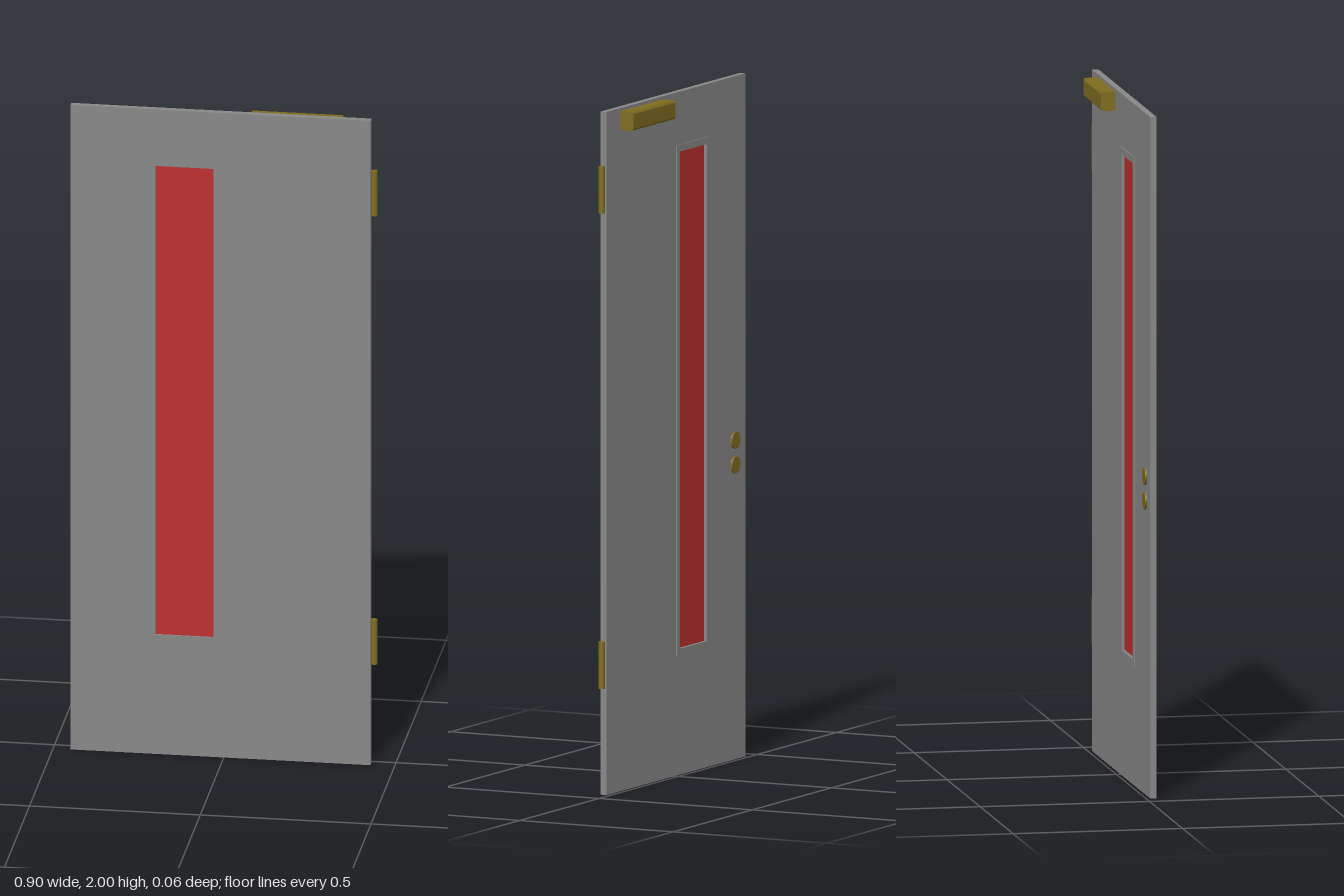
import * as THREE from 'three';

const grey = new THREE.MeshStandardMaterial({ color: 0x888888 });
const red = new THREE.MeshStandardMaterial({ color: 0xbc2e2e });
const brass = new THREE.MeshStandardMaterial({ color: 0x7f6c20 });

// Rectangular panel with a rectangular opening, extruded from z0 to z1
function framedPanel(outer, inner, z0, z1) {
  const corners = ([x0, y0, x1, y1]) => [[x0, y0], [x1, y0], [x1, y1], [x0, y1]].map(([x, y]) => new THREE.Vector2(x, y));
  const shape = new THREE.Shape(corners(outer));
  shape.holes.push(new THREE.Path(corners(inner).reverse()));
  return new THREE.ExtrudeGeometry(shape, { depth: z1 - z0, bevelEnabled: false }).translate(0, 0, z0);
}

export function createModel() {
  const door = new THREE.Group();
  door.name = 'door';
  const add = (name, geometry, material, x = 0, y = 0, z = 0) => {
    const mesh = new THREE.Mesh(geometry, material);
    mesh.name = name;
    mesh.position.set(x, y, z);
    door.add(mesh);
  };

  // Slab with a tall narrow window
  const opening = [-0.2, 0.37, -0.03, 1.825];
  const [x0, y0, x1, y1] = opening;
  add('doorSlab', framedPanel([-0.449, 0, 0.43, 2], opening, 0.012, 0.031), grey);
  add('windowTrim', framedPanel([x0 - 0.02, y0 - 0.02, x1 + 0.02, y1 + 0.02], opening, 0.009, 0.012), grey);
  add('windowPane', new THREE.BoxGeometry(x1 - x0, y1 - y0, 0.006), red, (x0 + x1) / 2, (y0 + y1) / 2, 0.0215);

  // Lock discs on the back
  for (const [name, y] of [['upperLockDisc', 0.935], ['lowerLockDisc', 0.863]]) {
    add(name, new THREE.CylinderGeometry(0.025, 0.025, 0.007, 32).rotateX(Math.PI / 2), brass, -0.38, y, 0.0095);
  }

  // Hinge barrels along the left edge
  for (const [name, y] of [['upperHinge', 1.773], ['lowerHinge', 0.381]]) {
    add(name, new THREE.CylinderGeometry(0.0095, 0.0095, 0.138, 24), brass, 0.4395, y, 0.022);
  }

  // Closer box: profile in z and y with chamfered rear edges, run along x
  const profile = new THREE.Shape([[-0.012, 1.936], [0.026, 1.936], [0.031, 1.942], [0.031, 1.985], [0.026, 1.991], [-0.012, 1.991]]
    .map(([z, y]) => new THREE.Vector2(z, y)));
  const closer = new THREE.ExtrudeGeometry(profile, { depth: 0.267, bevelEnabled: false });
  add('doorCloser', closer.rotateY(Math.PI / 2), brass, 0.075);

  return door;
}
